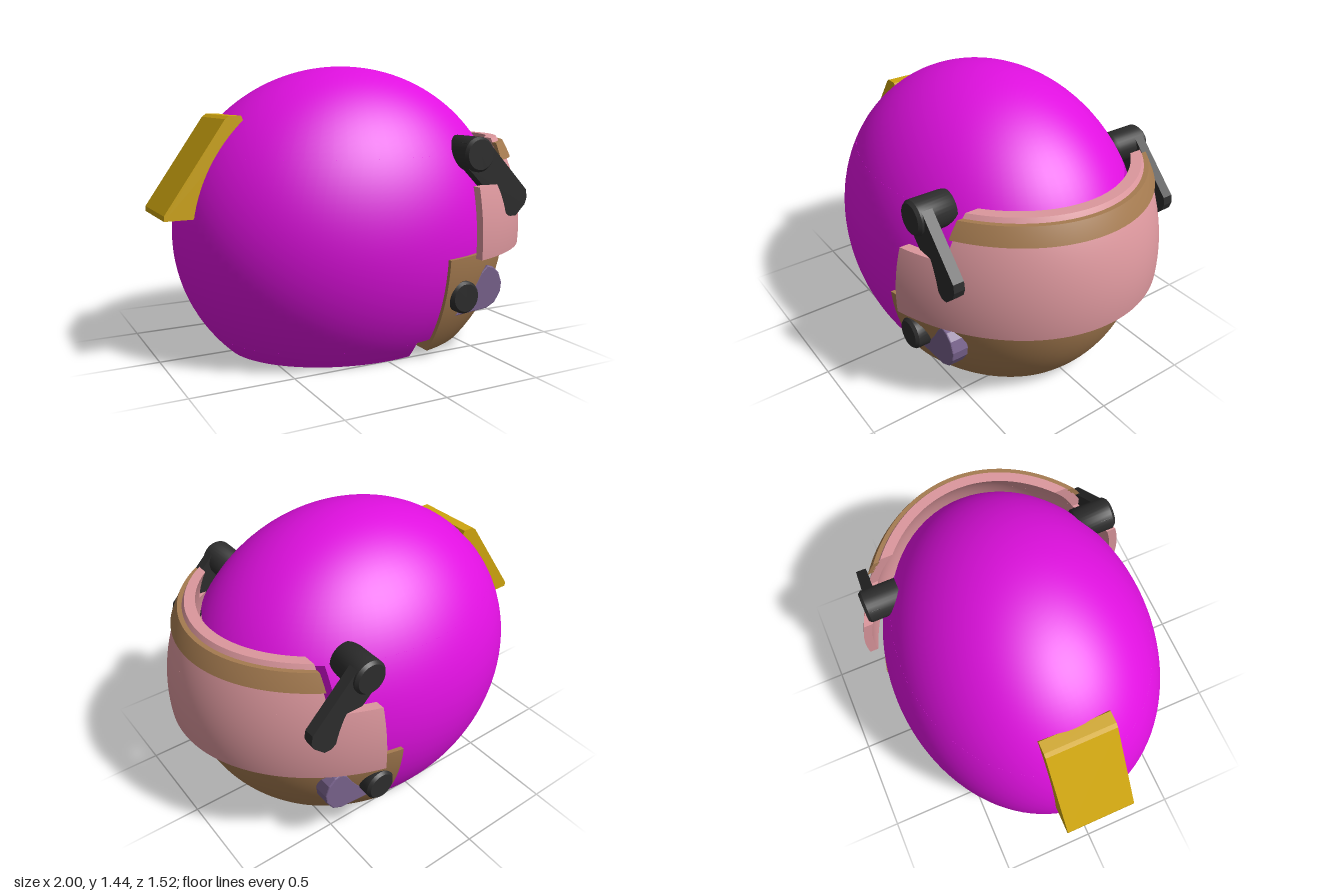
import * as THREE from 'three';
import { mergeGeometries } from 'three/addons/utils/BufferGeometryUtils.js';

const CY = 0.6; // height of the common ellipsoid centre
const radii = (o) => [0.9 + o, 0.84 + o, 0.715 + o];
const lerp = THREE.MathUtils.lerp;

const mat = (name, color) => {
  const m = new THREE.MeshStandardMaterial({ color });
  m.name = name;
  return m;
};

// Grid of quads from a function of u and v
function grid(nu, nv, fn, flip, r) {
  const pos = [], idx = [];
  for (let i = 0; i <= nu; i++) for (let j = 0; j <= nv; j++) pos.push(...fn(i / nu, j / nv));
  for (let i = 0; i < nu; i++) for (let j = 0; j < nv; j++) {
    const a = i * (nv + 1) + j, b = a + 1, c = a + nv + 1, d = c + 1;
    if (flip) idx.push(a, c, b, b, c, d);
    else idx.push(a, b, c, b, d, c);
  }
  const g = new THREE.BufferGeometry();
  g.setAttribute('position', new THREE.Float32BufferAttribute(pos, 3));
  g.setIndex(idx);
  g.computeVertexNormals();
  if (r) { // exact ellipsoid normals
    const p = g.attributes.position, n = g.attributes.normal, v = new THREE.Vector3();
    for (let i = 0; i < p.count; i++) {
      v.set(p.getX(i) / r[0] ** 2, (p.getY(i) - CY) / r[1] ** 2, p.getZ(i) / r[2] ** 2)
        .normalize().multiplyScalar(flip ? -1 : 1);
      n.setXYZ(i, v.x, v.y, v.z);
    }
  }
  return g;
}

// Thick ellipsoidal wall between two heights; side 'front' keeps x > cut, 'back' keeps x < cut
function wall(offOut, offIn, y0, y1, side, cut) {
  const surface = (o) => {
    const r = radii(o);
    const phi = (y) => Math.asin(THREE.MathUtils.clamp((y - CY) / r[1], -1, 1));
    const p0 = phi(y0), p1 = phi(y1);
    return (u, v) => {
      const p = lerp(p0, p1, v), ax = r[0] * Math.cos(p), az = r[2] * Math.cos(p);
      let t0 = 0, t1 = Math.PI * 2;
      if (side) {
        const a = Math.acos(THREE.MathUtils.clamp(cut / Math.max(ax, 1e-6), -1, 1));
        [t0, t1] = side === 'front' ? [-a, a] : [a, Math.PI * 2 - a];
      }
      const t = lerp(t0, t1, u);
      return [ax * Math.cos(t), CY + r[1] * Math.sin(p), az * Math.sin(t)];
    };
  };
  const out = surface(offOut), inn = surface(offIn);
  const across = (u, h, v) => (v < 0.5 ? out(u, h) : inn(u, h));
  const parts = [
    grid(72, 24, out, false, radii(offOut)),
    grid(72, 24, inn, true, radii(offIn)),
    grid(72, 1, (u, v) => across(u, 0, v), true),
  ];
  if (y1 < 1.4) parts.push(grid(72, 1, (u, v) => across(u, 1, v), false));
  if (side) {
    parts.push(grid(24, 1, (u, v) => across(0, u, v), false));
    parts.push(grid(24, 1, (u, v) => across(1, u, v), true));
  }
  return mergeGeometries(parts);
}

// Side profile in x and y extruded between two z values
function slab(points, z0, z1, smooth, bevel = 0) {
  const v = points.map(([x, y]) => new THREE.Vector2(x, y));
  const s = new THREE.Shape(smooth ? new THREE.SplineCurve([...v, v[0]]).getPoints(40) : v);
  const g = new THREE.ExtrudeGeometry(s, {
    depth: z1 - z0 - 2 * bevel, bevelEnabled: bevel > 0, bevelSize: bevel,
    bevelThickness: bevel, bevelOffset: -bevel, bevelSegments: 2,
  });
  return g.translate(0, 0, z0 + bevel);
}

// Round knob along z with a bevelled rim
function knob(x, y, r, z0, z1) {
  const pts = [[0, z0], [r, z0], [r, z1 - 0.015], [r, z1 - 0.015], [r - 0.012, z1], [r - 0.012, z1], [0, z1]];
  const g = new THREE.LatheGeometry(pts.map(([a, b]) => new THREE.Vector2(a, b)), 32);
  return g.rotateX(Math.PI / 2).translate(x, y, 0);
}

export function createModel() {
  const model = new THREE.Group();
  model.name = 'helmet';
  const magenta = mat('magenta shell', 0xe010e0);
  const brown = mat('brown guard', 0xa57b50);
  const pink = mat('pink visor', 0xdc979d);
  const yellow = mat('yellow vent', 0xcfa50f);
  const purple = mat('purple scoop', 0x78628c);
  const black = mat('black hardware', 0x2d2d2d);
  const add = (name, geo, m, parent = model) => {
    const mesh = new THREE.Mesh(geo, m);
    mesh.name = name;
    parent.add(mesh);
    return mesh;
  };

  // Shell: closed crown, sides behind the face opening, stepped lower rim
  add('shellCrown', wall(0, -0.1, 1.01, 1.44, null), magenta);
  add('shellSides', wall(0, -0.1, 0.09, 1.01, 'back', 0.5), magenta);
  add('shellRim', wall(0, -0.1, 0, 0.09, 'back', 0.13), magenta);

  // Chin guard and visor wrap the face
  add('chinGuard', wall(0.02, -0.09, 0.025, 0.525, 'front', 0.215), brown);
  add('visorLower', wall(0.1, 0.055, 0.52, 0.865, 'front', 0.36), pink);
  add('visorUpper', wall(0.1, 0.055, 0.865, 1.08, 'front', 0.58), pink);
  add('browBand', wall(0.12, 0.095, 0.975, 1.058, 'front', 0.58), brown);

  // Rear vent block
  add('rearVent', slab([[-1, 0.725], [-0.83, 0.725], [-0.6, 1.15], [-0.62, 1.2], [-0.68, 1.2], [-0.7, 1.185], [-1, 0.75]],
    -0.18, 0.18, false), yellow);

  // Hinges, arms, knobs and scoops on both sides
  const armProfile = [[0.335, 0.955], [0.58, 0.715], [0.6, 0.702], [0.635, 0.702], [0.69, 0.755],
    [0.702, 0.79], [0.695, 0.83], [0.455, 1.075], [0.395, 1.1], [0.33, 1.07], [0.31, 1.015]];
  const scoopProfile = [[0.32, 0.215], [0.51, 0.23], [0.56, 0.255], [0.595, 0.31], [0.6, 0.355],
    [0.58, 0.41], [0.545, 0.44], [0.51, 0.45], [0.475, 0.42], [0.43, 0.35]];
  for (const s of [1, -1]) {
    const label = s > 0 ? 'left' : 'right';
    const fittings = new THREE.Group();
    fittings.name = label + 'Fittings';
    if (s < 0) fittings.rotation.y = 0;
    fittings.scale.z = s;
    add(label + 'Hinge', knob(0.395, 1.015, 0.085, 0.49, 0.685), black, fittings);
    add(label + 'VisorArm', slab(armProfile, 0.605, 0.66, false), black, fittings);
    add(label + 'ChinKnob', knob(0.325, 0.325, 0.08, 0.58, 0.69), black, fittings);
    add(label + 'Scoop', slab(scoopProfile, 0.525, 0.612, false, 0.006), purple, fittings);
    model.add(fittings);
  }
  return model;
}
